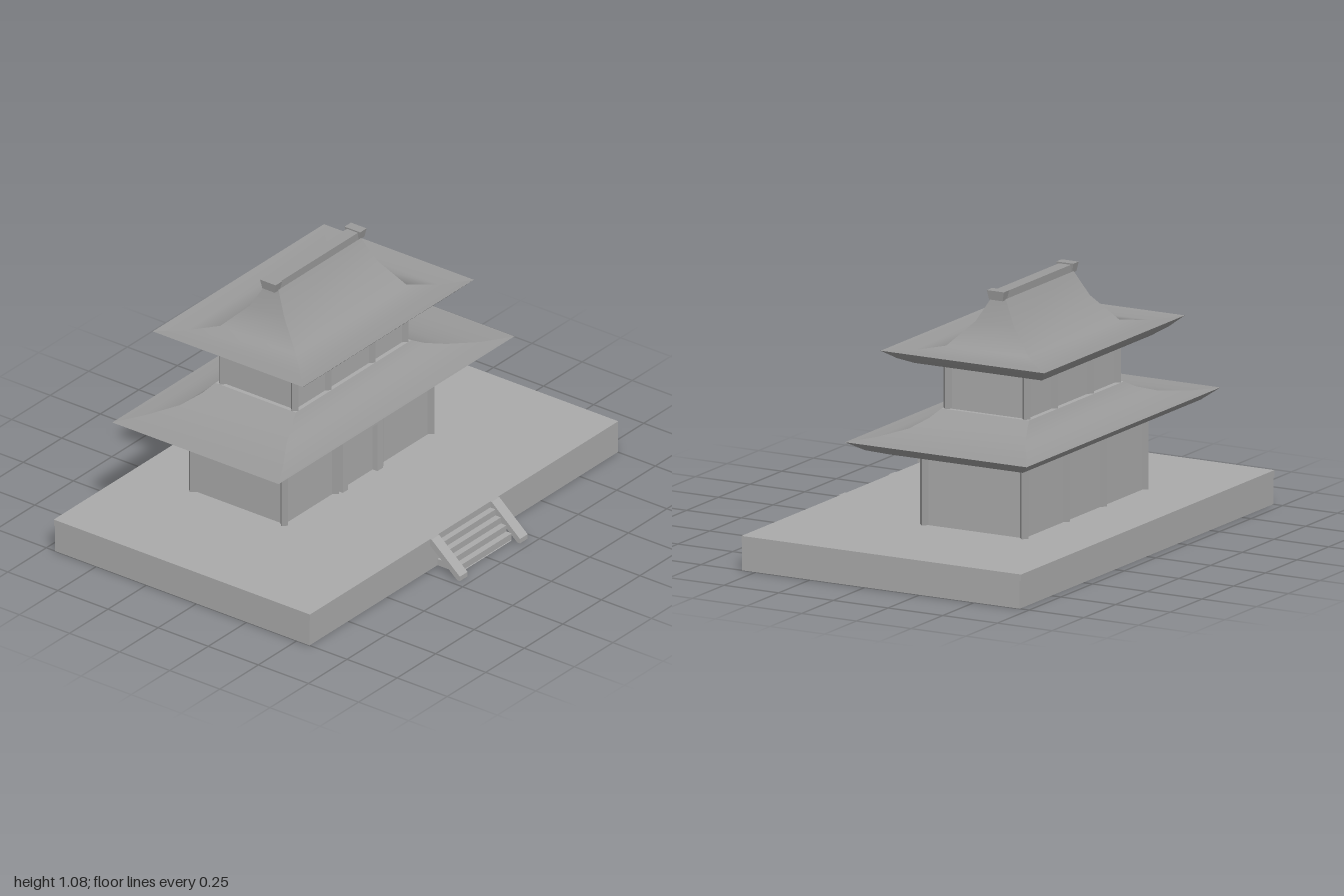
import * as THREE from 'three';

const stone = new THREE.MeshStandardMaterial({ color: 0xaaaaaa, side: THREE.DoubleSide });
const tile = new THREE.MeshStandardMaterial({ color: 0x9a9a9a, side: THREE.DoubleSide });
const timber = new THREE.MeshStandardMaterial({ color: 0x9a9a9a, flatShading: true });
const CZ = -0.187; // depth of the building's centre

function add(parent, name, geometry, x = 0, y = 0, z = 0, material = stone) {
  const mesh = new THREE.Mesh(geometry, material);
  mesh.name = name;
  mesh.position.set(x, y, z);
  parent.add(mesh);
}

// Box given by its limits on each axis
function block(parent, name, x0, x1, y0, y1, z0, z1, material = stone) {
  add(parent, name, new THREE.BoxGeometry(x1 - x0, y1 - y0, z1 - z0),
    (x0 + x1) / 2, (y0 + y1) / 2, (z0 + z1) / 2, material);
}

// Four-sided hipped skin through rectangles [halfX, halfZ, y]; smooth up the slope, sharp at hips
function hippedSkin(sections) {
  const positions = [], index = [];
  const corners = [[-1, 1], [1, 1], [1, -1], [-1, -1]];
  for (let side = 0; side < 4; side++) {
    const a = corners[side], b = corners[(side + 1) % 4];
    const start = positions.length / 3;
    sections.forEach(([hx, hz, y], i) => {
      positions.push(a[0] * hx, y, a[1] * hz, b[0] * hx, y, b[1] * hz);
      if (i === 0) return;
      const p = start + 2 * (i - 1);
      index.push(p, p + 1, p + 3, p, p + 3, p + 2);
    });
  }
  const geometry = new THREE.BufferGeometry();
  geometry.setAttribute('position', new THREE.Float32BufferAttribute(positions, 3));
  geometry.setIndex(index);
  geometry.computeVertexNormals();
  return geometry;
}

// Extrude a (z, y) outline across x, centred on x
function crossways(outline, width) {
  const shape = new THREE.Shape(outline.map(([z, y]) => new THREE.Vector2(-z, y)));
  return new THREE.ExtrudeGeometry(shape, { depth: width, bevelEnabled: false })
    .translate(0, 0, -width / 2).rotateY(Math.PI / 2);
}

// Walls with square columns set cornerwise along front and back
function storey(name, y0, y1, xs, hz, cz) {
  const group = new THREE.Group();
  group.name = name;
  const hx = xs[xs.length - 1];
  block(group, 'walls', -hx, hx, y0, y1, cz - hz, cz + hz);
  const column = new THREE.CylinderGeometry(0.019, 0.019, y1 - y0, 4);
  for (const x of xs) {
    for (const s of [-1, 1]) add(group, 'column', column, x, (y0 + y1) / 2, cz + s * hz, timber);
  }
  return group;
}

function roof(name, under, top) {
  const group = new THREE.Group();
  group.name = name;
  add(group, 'eavesUnderside', hippedSkin(under), 0, 0, CZ, tile);
  add(group, 'roofTop', hippedSkin(top), 0, 0, CZ, tile);
  return group;
}

function stairs() {
  const group = new THREE.Group();
  group.name = 'stairs';
  // Treads stepping down from the terrace
  for (let i = 0; i < 4; i++) {
    const y = 0.113 - i * 0.027, z = 0.563 + i * 0.027;
    block(group, 'tread', -0.17, 0.17, y - 0.028, y, z - 0.002, z + 0.028);
  }
  // Low footing below the treads
  add(group, 'footing', crossways([[0.56, 0], [0.672, 0], [0.61, 0.028], [0.56, 0.028]], 0.34));
  // Sloping side boards
  const cheek = [[0.56, 0.14], [0.572, 0.14], [0.713, 0.02], [0.713, 0], [0.7, 0], [0.56, 0.115]];
  for (const s of [-1, 1]) add(group, 'stairCheek', crossways(cheek, 0.05), s * 0.195);
  return group;
}

export function createModel() {
  const model = new THREE.Group();
  model.name = 'pavilion';

  // Terrace with its paving slab
  block(model, 'terrace', -1, 1, 0, 0.125, -0.707, 0.563);
  block(model, 'terraceSlab', -1, 1, 0.113, 0.14, -0.713, 0.565);
  model.add(stairs());

  // Ground floor with lintel, door frame and door
  const ground = storey('groundFloor', 0.14, 0.44, [-0.475, -0.145, 0.145, 0.475], 0.228, -0.195);
  block(ground, 'lintel', -0.467, 0.475, 0.39, 0.435, 0.03, 0.065);
  for (const s of [-1, 1]) {
    block(ground, 'doorJamb', s * 0.1125 - 0.0175, s * 0.1125 + 0.0175, 0.14, 0.39, 0.03, 0.06);
  }
  block(ground, 'doorHead', -0.095, 0.095, 0.353, 0.39, 0.03, 0.06);
  block(ground, 'door', -0.095, 0.095, 0.14, 0.353, 0.03, 0.036);
  model.add(ground);

  // Lower roof skirt
  model.add(roof('lowerRoof',
    [[0.1, 0.05, 0.427], [0.49, 0.245, 0.427], [0.605, 0.305, 0.443], [0.695, 0.365, 0.472], [0.765, 0.415, 0.513]],
    [[0.765, 0.415, 0.513], [0.64, 0.342, 0.517], [0.52, 0.265, 0.535], [0.43, 0.223, 0.565], [0.375, 0.2, 0.594]]));
  block(model, 'upperFloor', -0.375, 0.375, 0.56, 0.594, CZ - 0.2, CZ + 0.2);

  // Upper floor
  model.add(storey('upperStorey', 0.59, 0.78, [-0.357, -0.142, 0.142, 0.357], 0.18, -0.185));

  // Upper roof sweeping up to the ridge
  model.add(roof('upperRoof',
    [[0.1, 0.05, 0.766], [0.375, 0.248, 0.766], [0.43, 0.29, 0.78], [0.495, 0.333, 0.808], [0.555, 0.374, 0.846]],
    [[0.555, 0.374, 0.846], [0.45, 0.28, 0.838], [0.358, 0.188, 0.848], [0.3, 0.087, 0.948], [0.268, 0.032, 1.045]]));

  // Ridge beam with flared end blocks
  block(model, 'ridgeBeam', -0.27, 0.27, 1.035, 1.073, CZ - 0.027, CZ + 0.027, tile);
  const endBlock = new THREE.CylinderGeometry(Math.SQRT1_2, Math.SQRT1_2 * 0.8, 1, 4).rotateY(Math.PI / 4);
  endBlock.scale(0.042, 0.038, 0.078);
  for (const s of [-1, 1]) add(model, 'ridgeEnd', endBlock, s * 0.274, 1.06, CZ, timber);

  return model;
}
